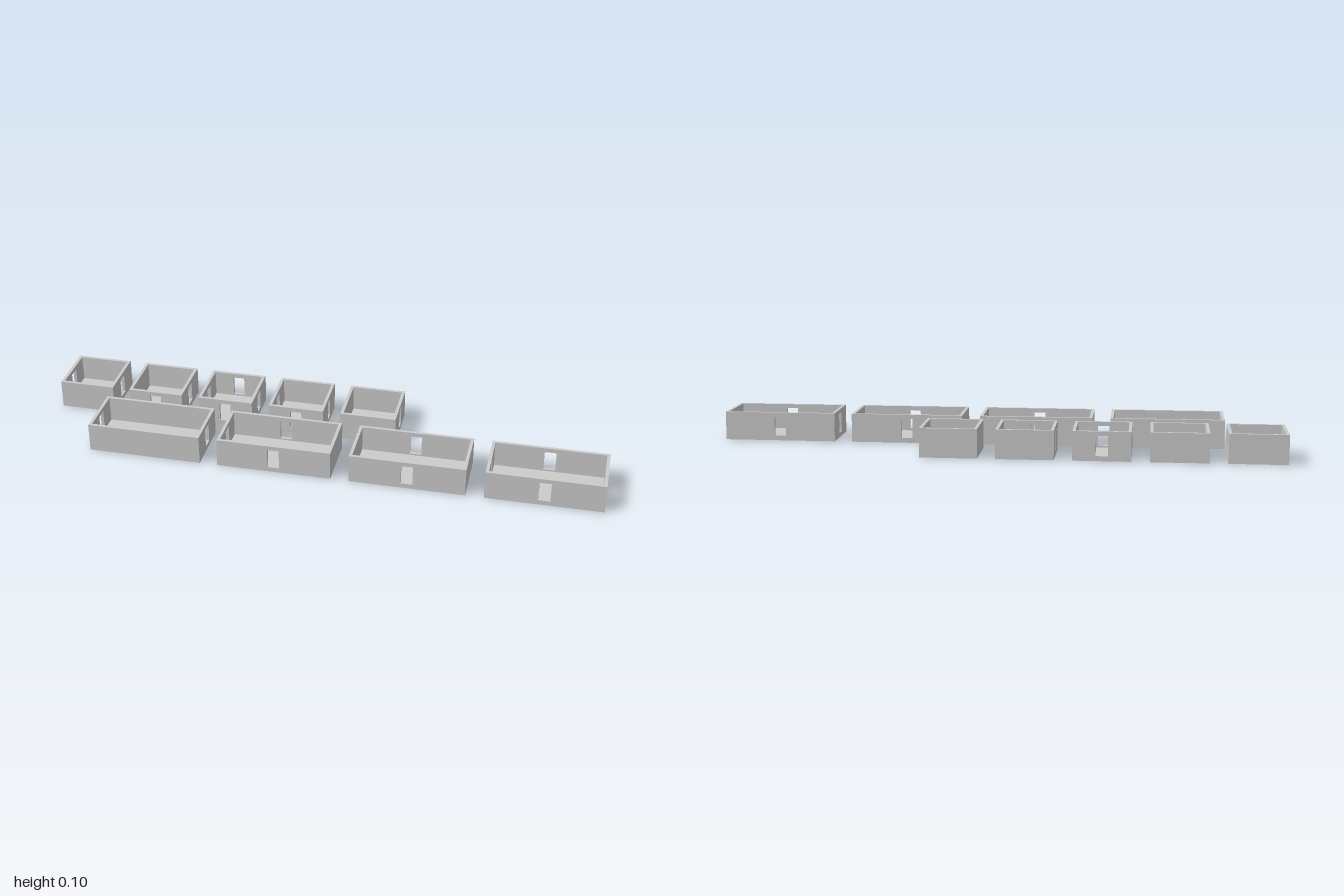
import * as THREE from 'three';

const DEPTH = 0.202, HEIGHT = 0.102, WALL = 0.011;
const DOOR_W = 0.041, DOOR_Y0 = 0.017, DOOR_Y1 = 0.087;

const material = new THREE.MeshStandardMaterial({ color: 0xcccccc, flatShading: true });

// Upright wall panel centred on x and z, with an optional doorway cut through it
function wall(name, length, hasDoor) {
  const h = length / 2, d = DOOR_W / 2;
  const shape = new THREE.Shape();
  shape.moveTo(-h, 0).lineTo(h, 0).lineTo(h, HEIGHT).lineTo(-h, HEIGHT).closePath();
  if (hasDoor) {
    const hole = new THREE.Path();
    hole.moveTo(-d, DOOR_Y0).lineTo(-d, DOOR_Y1).lineTo(d, DOOR_Y1).lineTo(d, DOOR_Y0).closePath();
    shape.holes.push(hole);
  }
  const geometry = new THREE.ExtrudeGeometry(shape, { depth: WALL, bevelEnabled: false });
  geometry.translate(0, 0, -WALL / 2);
  const mesh = new THREE.Mesh(geometry, material);
  mesh.name = name;
  return mesh;
}

// Open-topped room; doors lists the sides with a doorway: F front, B back, L (+x), R (-x)
function room(name, width, doors) {
  const group = new THREE.Group();
  group.name = name;

  const floor = new THREE.Mesh(
    new THREE.BoxGeometry(width - 2 * WALL, WALL, DEPTH - 2 * WALL), material);
  floor.name = 'floor';
  floor.position.y = WALL / 2;
  group.add(floor);

  const zWall = (DEPTH - WALL) / 2, xWall = (width - WALL) / 2;
  for (const [side, label, s] of [['F', 'frontWall', 1], ['B', 'backWall', -1]]) {
    const panel = wall(label, width, doors.includes(side));
    panel.position.z = s * zWall;
    group.add(panel);
  }
  for (const [side, label, s] of [['L', 'leftWall', 1], ['R', 'rightWall', -1]]) {
    const panel = wall(label, DEPTH - 2 * WALL, doors.includes(side));
    panel.rotation.y = Math.PI / 2;
    panel.position.x = s * xWall;
    group.add(panel);
  }
  return group;
}

// Row of equal rooms, evenly spaced along x
function row(name, width, startX, pitch, z, layouts) {
  const group = new THREE.Group();
  group.name = name;
  layouts.forEach((doors, i) => {
    const r = room('room' + (i + 1), width, doors);
    r.position.set(startX + width / 2 + i * pitch, 0, z);
    group.add(r);
  });
  return group;
}

export function createModel() {
  const model = new THREE.Group();
  model.name = 'roomSet';
  // Square rooms at the back, long rooms at the front
  model.add(row('squareRooms', 0.2, -1, 0.262, -0.1315, ['LR', 'FL', 'FBLR', 'FLR', 'L']));
  model.add(row('longRooms', 0.402, -0.7985, 0.4655, 0.1315, ['LR', 'FBR', 'FB', 'FBLR']));
  return model;
}
